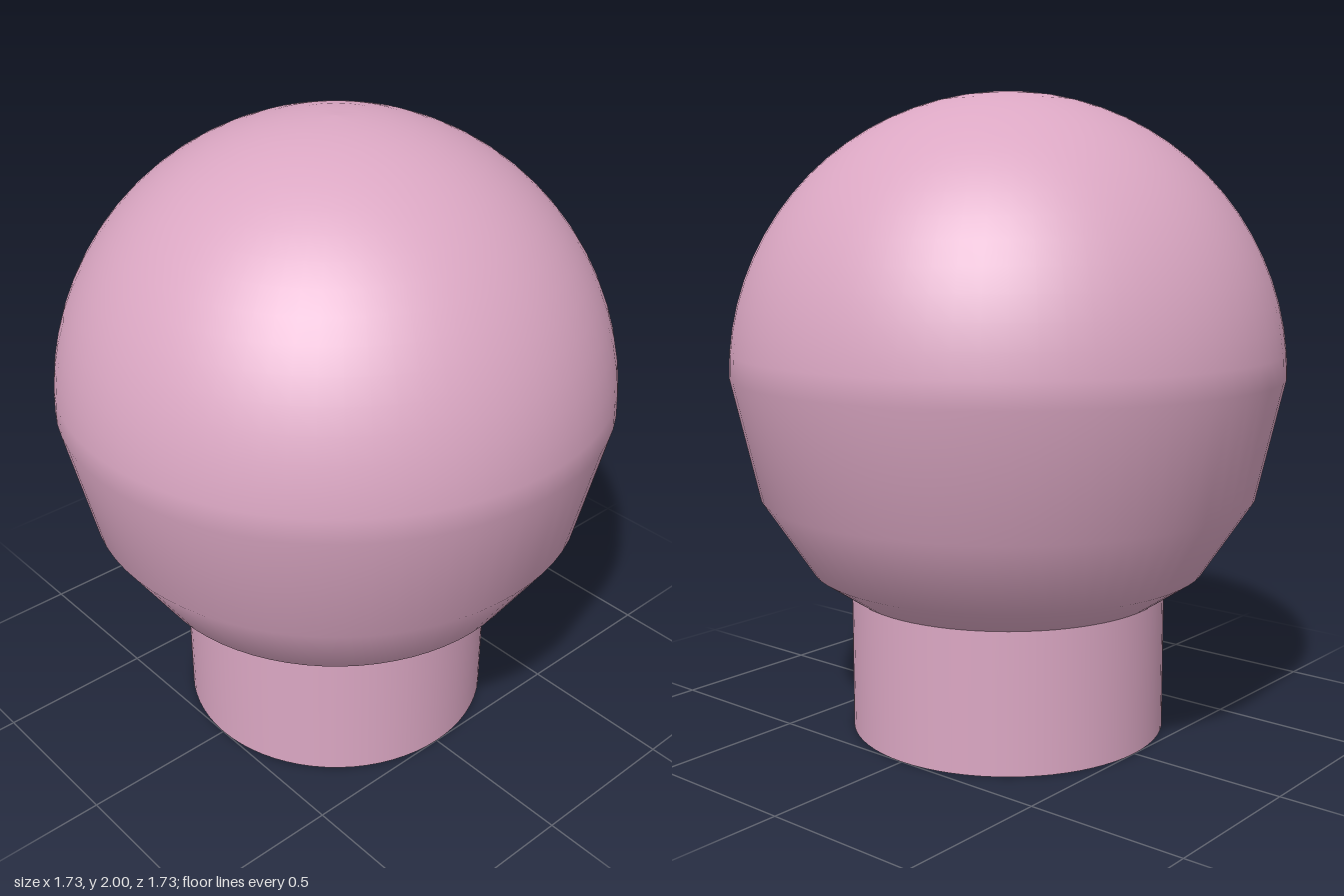
import * as THREE from 'three';

const SIDES = 72;
const CENTER = 1.135, RADIUS = 0.865; // globe
const NECK = 0.5, NECK_TOP = 0.44, WALL = 0.125;

// Points on a circle around the globe centre, angles in degrees from the equator
function arc(radius, from, to, steps) {
  return Array.from({ length: steps + 1 }, (_, i) => {
    const a = THREE.MathUtils.degToRad(from + ((to - from) * i) / steps);
    return [Math.max(0, radius * Math.cos(a)), CENTER + radius * Math.sin(a)];
  });
}

export function createModel() {
  const group = new THREE.Group();
  group.name = 'hollowBulb';
  const material = new THREE.MeshStandardMaterial({ color: 0xdba7c3 });

  const addLathe = (name, profile) => {
    const points = profile.map(([r, y]) => new THREE.Vector2(r, y));
    const mesh = new THREE.Mesh(new THREE.LatheGeometry(points, SIDES), material);
    mesh.name = name;
    group.add(mesh);
  };

  // Globe: coarse steps below the equator, fine ones above
  addLathe('globe', [
    [NECK, NECK_TOP], [0.625, 0.525], [0.78, 0.76],
    ...arc(RADIUS, 0, 90, 18),
  ]);

  // Neck tube with its flat rim and bore
  const bore = NECK - WALL;
  addLathe('neck', [[NECK, 0], [NECK, NECK_TOP]]);
  addLathe('neckRim', [[bore, 0], [NECK, 0]]);

  // Cavity, following the outside at an even wall thickness
  const inner = RADIUS - WALL;
  const mouth = -THREE.MathUtils.radToDeg(Math.acos(bore / inner));
  const cavity = arc(inner, 90, mouth, 28);
  addLathe('cavity', cavity);
  addLathe('neckBore', [cavity[cavity.length - 1], [bore, 0]]);

  return group;
}
